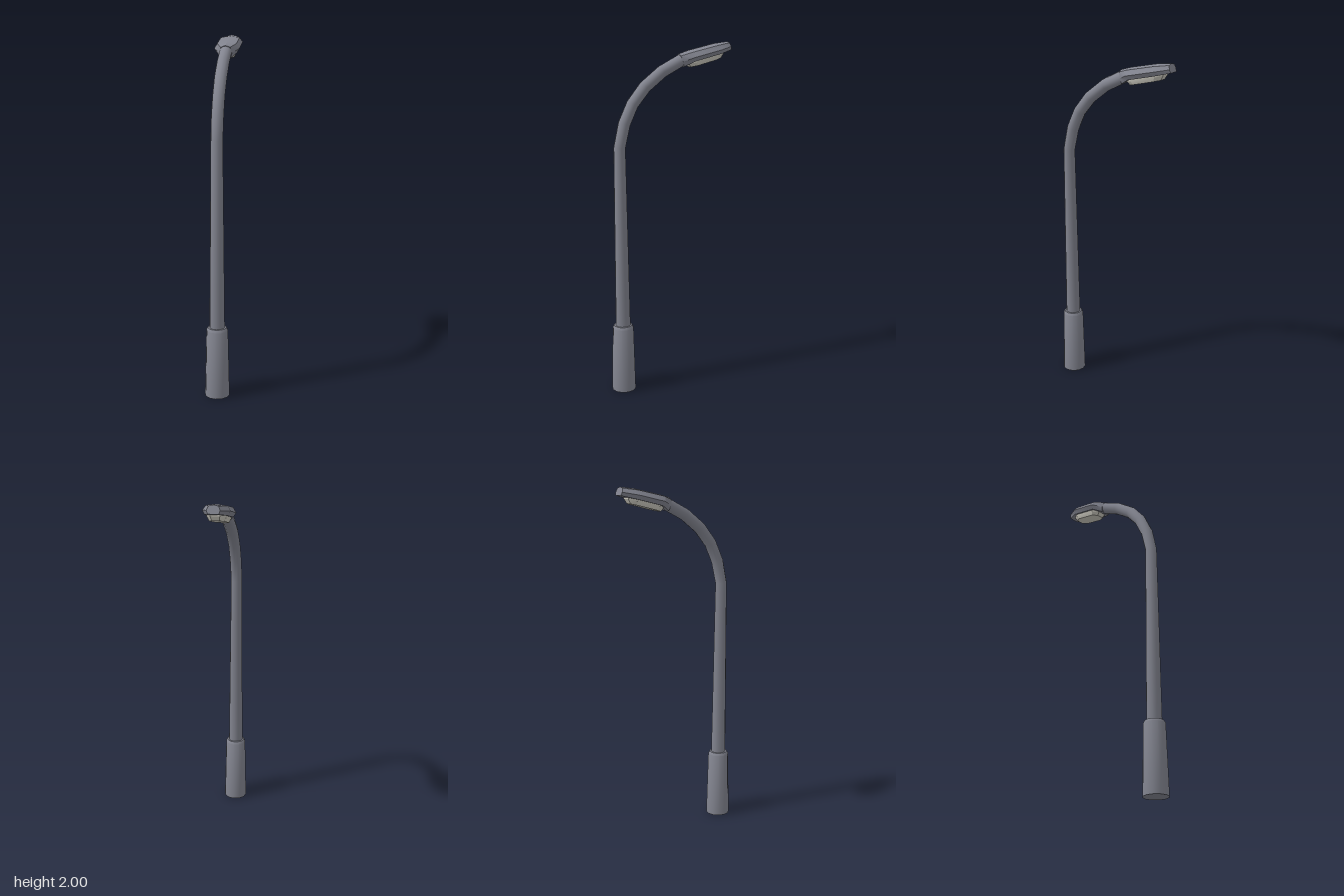
import * as THREE from 'three';
import { toCreasedNormals } from 'three/addons/utils/BufferGeometryUtils.js';

// Skin a list of equal-length rings, with closed ends
function loft(rings, crease) {
  const n = rings[0].length;
  const index = [];
  for (let i = 0; i < rings.length - 1; i++) {
    for (let j = 0; j < n; j++) {
      const k = (j + 1) % n;
      const a = i * n + j, b = i * n + k, c = b + n, d = a + n;
      index.push(a, b, c, a, c, d);
    }
  }
  const last = (rings.length - 1) * n;
  for (let j = 1; j < n - 1; j++) {
    index.push(0, j + 1, j, last, last + j, last + j + 1);
  }
  const geometry = new THREE.BufferGeometry();
  geometry.setAttribute('position', new THREE.Float32BufferAttribute(rings.flat(2), 3));
  geometry.setIndex(index);
  return toCreasedNormals(geometry, crease);
}

// Round tube along stations [x, y, radius, tangent angle] in the arm's plane
function sweep(stations, sides) {
  return stations.map(([x, y, r, angle]) => {
    const tx = Math.cos(angle), ty = Math.sin(angle);
    return Array.from({ length: sides }, (_, j) => {
      const a = (j / sides) * Math.PI * 2;
      const u = r * Math.cos(a);
      return [x + ty * u, y - tx * u, -r * Math.sin(a)];
    });
  });
}

export function createModel() {
  const model = new THREE.Group();
  model.name = 'streetLamp';
  const lamp = new THREE.Group();
  lamp.name = 'lamp';
  lamp.position.set(-0.215, 0, 0.215);
  lamp.rotation.y = Math.PI / 4;
  model.add(lamp);

  const metal = new THREE.MeshStandardMaterial({ color: 0x82848f });
  const glass = new THREE.MeshStandardMaterial({ color: 0xc8c6bc });

  function add(name, geometry, material) {
    const mesh = new THREE.Mesh(geometry, material);
    mesh.name = name;
    lamp.add(mesh);
  }

  // Tapered sleeve at the foot, with a bevelled rim
  const up = Math.PI / 2;
  add('baseSleeve', loft(sweep([
    [0, 0, 0.07, up], [0, 0.385, 0.061, up], [0, 0.4, 0.053, up],
  ], 12), 0.6), metal);

  // Pole that tapers upward and bends over into the arm
  add('poleAndArm', loft(sweep([
    [0, 0.38, 0.043, up],
    [-0.005, 1.44, 0.033, 1.5],
    [0.025, 1.57, 0.034, 1.24],
    [0.075, 1.675, 0.034, 1.0],
    [0.15, 1.765, 0.035, 0.78],
    [0.255, 1.845, 0.035, 0.56],
    [0.376, 1.905, 0.035, 0.4],
  ], 12), 0.8), metal);

  // Flat lamp head: stations [x, half width, bottom, top], section [side, height]
  const section = [
    [0, 0], [-0.8, 0], [-1, 0.4], [-0.75, 0.86],
    [0, 1], [0.75, 0.86], [1, 0.4], [0.8, 0],
  ];
  const headRings = [
    [0.365, 0.036, 1.868, 1.938],
    [0.423, 0.073, 1.898, 1.956],
    [0.587, 0.074, 1.936, 1.991],
    [0.668, 0.035, 1.955, 2.0],
  ].map(([x, w, bottom, top]) => section.map(([side, h]) => [
    x - 0.3 * (h - 0.5) * (top - bottom),
    bottom + h * (top - bottom),
    side * w,
  ]));
  add('lampHead', loft(headRings, 0.5), metal);

  // Lens under the head: a sloping, tapered octagon
  const octagon = [
    [1, -0.5], [1, 0.5], [0.65, 1], [-0.65, 1],
    [-1, 0.5], [-1, -0.5], [-0.65, -1], [0.65, -1],
  ];
  const lensRings = [
    [0.113, 0.052, 1.935],
    [0.11, 0.05, 1.91],
    [0.095, 0.04, 1.888],
  ].map(([length, width, y]) => octagon.map(([a, b]) => [
    0.517 + a * length, y + 0.24 * a * length, b * width,
  ]));
  add('lens', loft(lensRings, 0.4), glass);

  return model;
}
